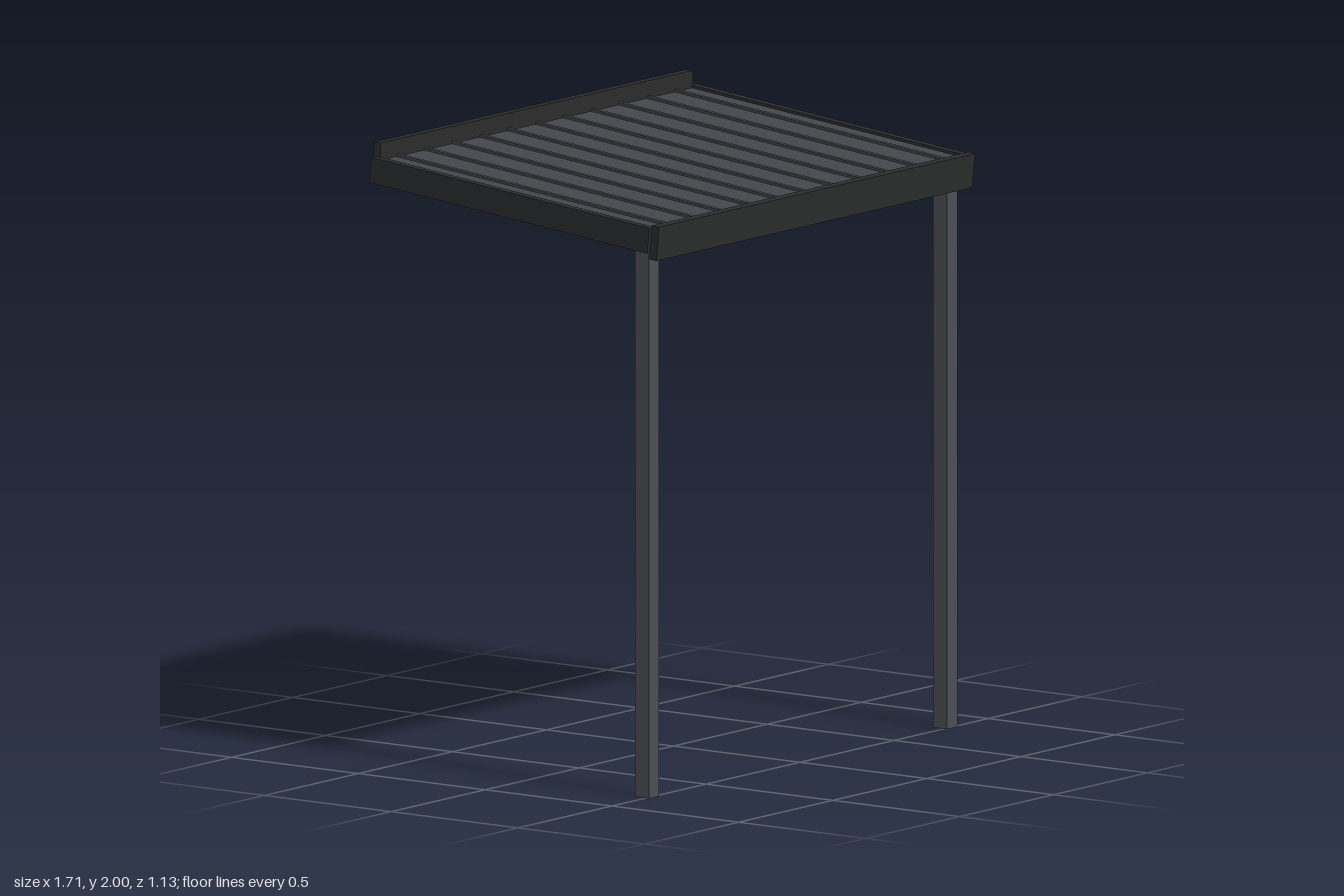
import * as THREE from 'three';

const frameMat = new THREE.MeshStandardMaterial({ color: 0x2b2c2d });
const deckMat = new THREE.MeshStandardMaterial({ color: 0x42464b });
const postMat = new THREE.MeshStandardMaterial({ color: 0x4b4e53 });

function box(parent, name, mat, size, pos) {
  const mesh = new THREE.Mesh(new THREE.BoxGeometry(...size), mat);
  mesh.name = name;
  mesh.position.set(...pos);
  parent.add(mesh);
  return mesh;
}

export function createModel() {
  const model = new THREE.Group();
  model.name = 'patioCover';

  // Sloping roof, built flat and then tilted down towards the front
  const roof = new THREE.Group();
  roof.name = 'roof';
  roof.position.set(0, 1.857, -0.014);
  roof.rotation.x = 0.104;
  model.add(roof);

  const length = 1.104;
  const depth = 0.083;
  const top = depth / 2;

  // Roof panel with raised seams
  box(roof, 'roofPanel', deckMat, [1.65, 0.06, length - 0.004], [0, top - 0.039, 0]);
  for (let i = -5; i <= 5; i++) {
    box(roof, 'roofSeam', deckMat, [0.016, 0.012, 1.07], [i * 0.1478, top - 0.007, 0]);
  }

  // Side beams and front fascia
  for (const side of [1, -1]) {
    box(roof, side > 0 ? 'leftBeam' : 'rightBeam', frameMat,
      [0.028, depth, length], [side * 0.839, 0, 0]);
  }
  box(roof, 'frontFascia', frameMat, [1.68, 0.111, 0.027], [0, -0.006, 0.566]);

  // Upright wall flashing along the back edge
  box(model, 'wallFlashing', frameMat, [1.66, 0.108, 0.028], [0, 1.946, -0.552]);

  // Front posts, running up into the roof panel
  const postHeight = 1.8;
  for (const side of [1, -1]) {
    box(model, side > 0 ? 'leftPost' : 'rightPost', postMat,
      [0.055, postHeight, 0.055], [side * 0.793, postHeight / 2, 0.485]);
  }

  return model;
}
